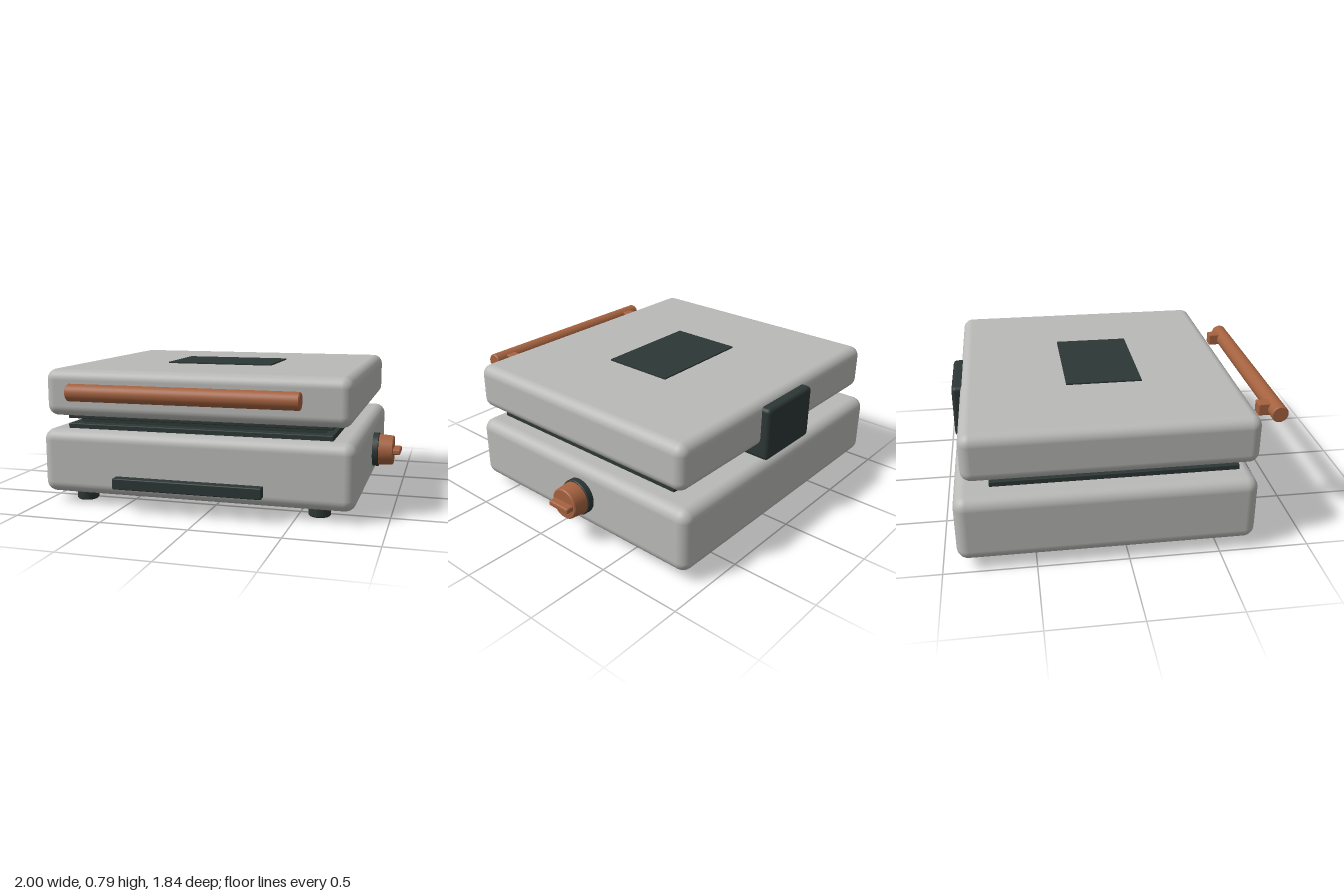
import * as THREE from 'three';
import { RoundedBoxGeometry } from 'three/addons/geometries/RoundedBoxGeometry.js';

export function createModel() {
  const model = new THREE.Group();
  model.name = 'wafflePress';
  const mat = (name, color) => {
    const m = new THREE.MeshStandardMaterial({ color });
    m.name = name;
    return m;
  };
  const steel = mat('brushed steel', 0xb9b9b7);
  const dark = mat('dark plastic', 0x2c3735);
  const copper = mat('copper', 0xa5623f);

  const add = (name, geometry, material, x, y, z, parent = model) => {
    const mesh = new THREE.Mesh(geometry, material);
    mesh.name = name;
    mesh.position.set(x, y, z);
    parent.add(mesh);
    return mesh;
  };
  // Box from its extents, rounded when a radius is given
  const box = (name, material, [x0, x1], [y0, y1], [z0, z1], r = 0, segments = 3) => {
    const size = [x1 - x0, y1 - y0, z1 - z0];
    const geometry = r ? new RoundedBoxGeometry(...size, segments, r) : new THREE.BoxGeometry(...size);
    return add(name, geometry, material, (x0 + x1) / 2, (y0 + y1) / 2, (z0 + z1) / 2);
  };
  // Turned part with bevelled rims, standing on y = 0
  const turned = (r0, r1, h, b) => new THREE.LatheGeometry(
    [[0, 0], [r0 - b, 0], [r0 - b, 0], [r0, b], [r0, b], [r1, h - b], [r1, h - b], [r1 - b, h], [r1 - b, h], [0, h]]
      .map(([x, y]) => new THREE.Vector2(x, y)), 40);

  // Housing
  box('base', steel, [-1, 0.83], [0.06, 0.435], [-0.92, 0.7], 0.065, 6);
  box('lid', steel, [-0.97, 0.805], [0.515, 0.785], [-0.87, 0.7], 0.06, 6);
  box('lidPanel', dark, [-0.41, 0.24], [0.784, 0.793], [-0.275, 0.155]);
  box('hinge', dark, [-0.3, 0.13], [0.44, 0.755], [-0.92, -0.73], 0.025);

  // Cooking plates with interleaved ridges
  box('lowerPlate', dark, [-0.865, 0.695], [0.43, 0.463], [-0.73, 0.62], 0.005, 1);
  box('upperPlate', dark, [-0.865, 0.695], [0.493, 0.52], [-0.73, 0.62], 0.005, 1);
  for (let i = 0; i < 10; i++) {
    const z = 0.54 - i * 0.1333;
    box('lowerRidge', dark, [-0.81, 0.645], [0.46, 0.482], [z - 0.015, z + 0.015]);
    if (i < 9) box('upperRidge', dark, [-0.81, 0.645], [0.474, 0.496], [z - 0.082, z - 0.052]);
  }

  // Front handle and its brackets
  const bar = add('handleBar', turned(0.048, 0.048, 1.295, 0.006), copper, 0.565, 0.68, 0.872);
  bar.rotation.z = Math.PI / 2;
  for (const x of [-0.625, 0.455]) {
    box('handleBracket', copper, [x - 0.035, x + 0.035], [0.645, 0.715], [0.77, 0.87], 0.007, 2);
  }
  box('frontStrip', dark, [-0.51, 0.345], [0.135, 0.198], [0.755, 0.815], 0.006, 2);

  // Side dial, turned about the x axis
  const dial = new THREE.Group();
  dial.name = 'dial';
  dial.position.set(0.825, 0.247, -0.164);
  dial.rotation.z = -Math.PI / 2;
  model.add(dial);
  add('dialCollar', turned(0.105, 0.105, 0.042, 0.004), dark, 0, 0, 0, dial);
  add('dialKnob', turned(0.097, 0.09, 0.094, 0.006), copper, 0, 0.037, 0, dial);
  add('dialPointer', new RoundedBoxGeometry(0.034, 0.06, 0.146, 3, 0.01), copper, 0, 0.145, 0, dial);

  // Feet
  for (const x of [-0.79, 0.615]) {
    for (const z of [-0.65, 0.545]) add('foot', turned(0.063, 0.063, 0.08, 0.007), dark, x, 0, z);
  }
  return model;
}
